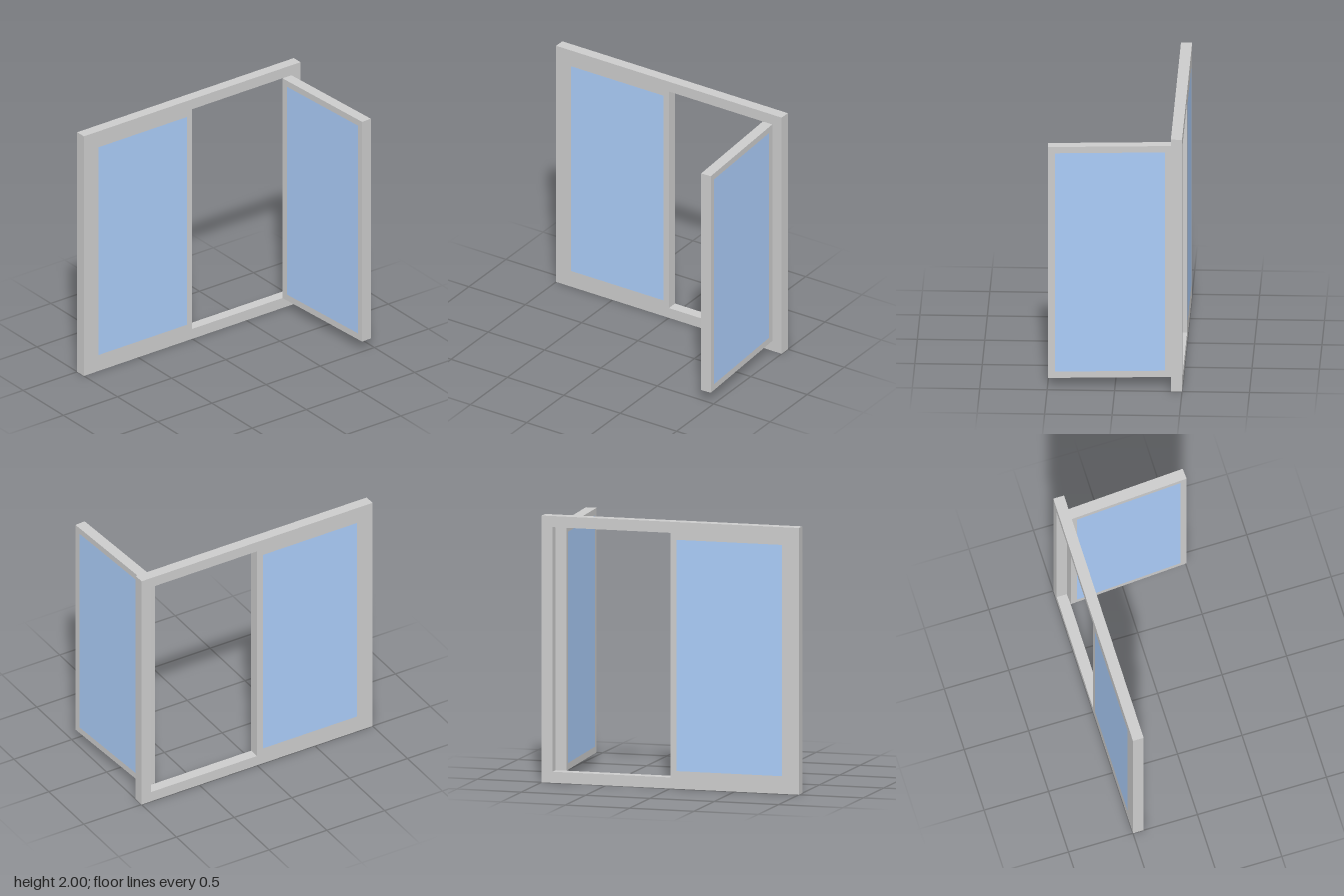
import * as THREE from 'three';

const grey = new THREE.MeshStandardMaterial({ color: 0xcccccc });
const blue = new THREE.MeshStandardMaterial({ color: 0xaaccf8 });

const DEPTH = 0.083;          // thickness of frame and sashes
const BORDER = 0.083;         // width of the outer frame
const RAIL = 0.05;            // width of the sash rails
const SASH_W = 1 - BORDER;
const SASH_H = 2 - 2 * BORDER;

function rectPoints(x, y, w, h) {
  return [[x, y], [x + w, y], [x + w, y + h], [x, y + h]].map(p => new THREE.Vector2(...p));
}

// Rectangular border with one opening, starting at the origin
function border(name, w, h, rail) {
  const shape = new THREE.Shape(rectPoints(0, 0, w, h));
  shape.holes.push(new THREE.Path(rectPoints(rail, rail, w - 2 * rail, h - 2 * rail)));
  const geometry = new THREE.ExtrudeGeometry(shape, { depth: DEPTH, bevelEnabled: false });
  const mesh = new THREE.Mesh(geometry, grey);
  mesh.name = name;
  return mesh;
}

// Sash: rails around a pane that sits flush with both faces
function sash(name) {
  const group = new THREE.Group();
  group.name = name;
  const glass = new THREE.Mesh(
    new THREE.BoxGeometry(SASH_W - 2 * RAIL, SASH_H - 2 * RAIL, DEPTH), blue);
  glass.name = 'glassPane';
  glass.position.set(SASH_W / 2, SASH_H / 2, DEPTH / 2);
  group.add(border('sashRails', SASH_W, SASH_H, RAIL), glass);
  return group;
}

export function createModel() {
  const model = new THREE.Group();
  model.name = 'casementWindow';

  // Outer frame
  const frame = border('outerFrame', 2, 2, BORDER);
  frame.position.set(-1, 0, -0.5);
  model.add(frame);

  // Closed sash filling the right half
  const fixed = sash('closedSash');
  fixed.position.set(-1 + BORDER, BORDER, -0.5);
  model.add(fixed);

  // Open sash, swung forward on its hinge at the left jamb
  const open = sash('openSash');
  open.position.set(0.916, BORDER, -0.421);
  open.rotation.y = -(Math.PI / 2 - 0.06);
  model.add(open);

  return model;
}
